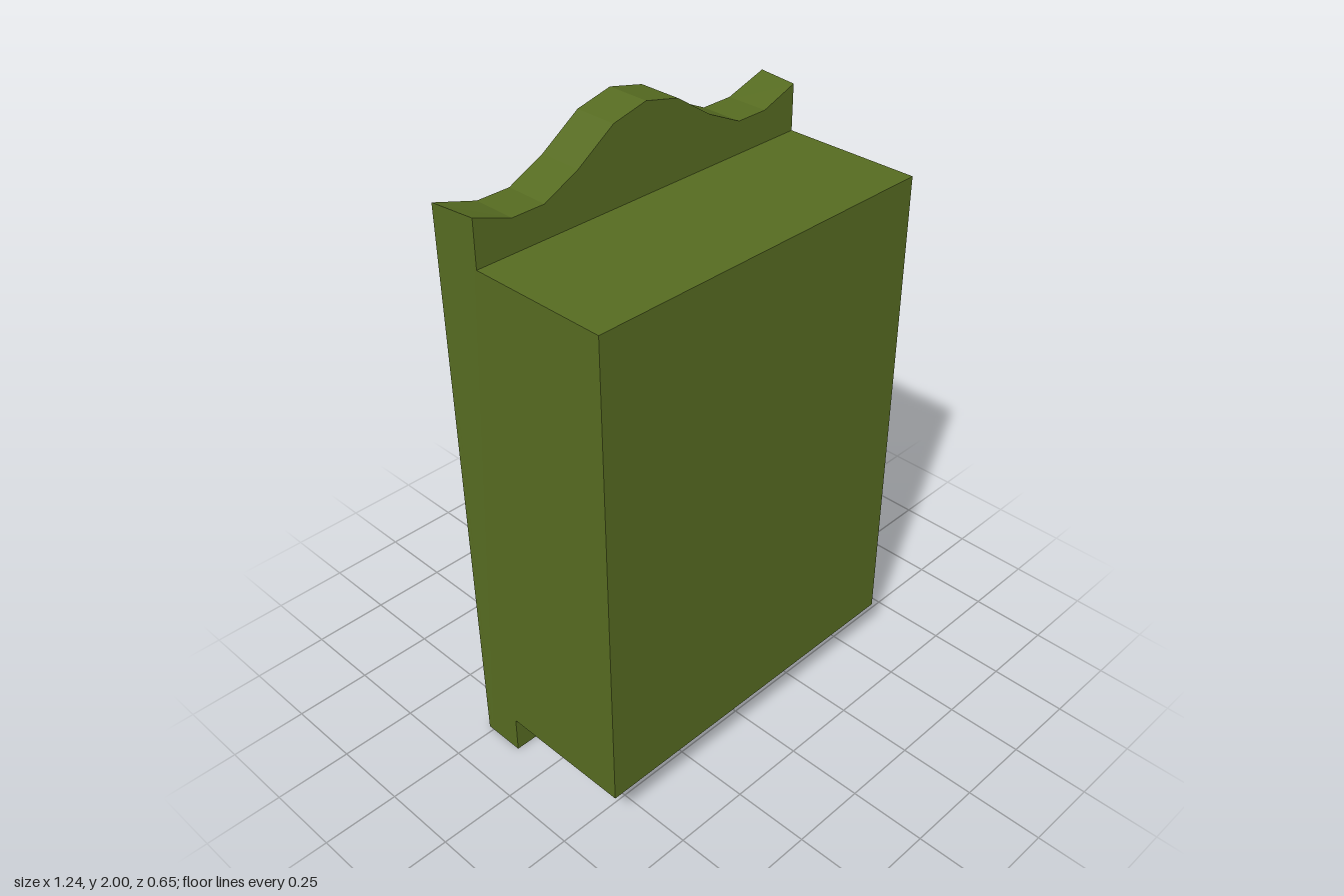
import * as THREE from 'three';

const FACE = -0.27; // plane of the door side
const BACK = -0.13; // where the facade meets the cabinet box

// Half of the crown outline, from the middle outwards
const CROWN = [[0, 2], [0.12, 1.972], [0.25, 1.885], [0.37, 1.828], [0.48, 1.828], [0.605, 1.873]];

const mirrored = (half) => [
  ...half.slice().reverse().map(([x, y]) => [-x, y]),
  ...half.filter(([x]) => x > 0),
];
const points = (list) => list.map(([x, y]) => new THREE.Vector2(x, y));

function rectPath(x0, y0, x1, y1) {
  return new THREE.Path(points([[x0, y0], [x0, y1], [x1, y1], [x1, y0]]));
}

// Whole facade: wavy crown above, cut-out between two feet below
function facadeShape() {
  const feet = [[0.605, 0], [0.49, 0], [0.365, 0.083]];
  return new THREE.Shape(points([
    ...mirrored(CROWN),
    ...feet,
    ...feet.slice().reverse().map(([x, y]) => [-x, y]),
  ]));
}

// Crown recess that follows the wavy top at a given inset
function crownHole(inset, bottom) {
  const top = CROWN.map(([x, y], i) => (i === 5 ? [x - inset * 0.6, y - inset - 0.005] : [x, y - inset]));
  const side = 0.605 - inset * 0.6;
  return new THREE.Path(points([...mirrored(top), [side, bottom], [-side, bottom]]));
}

function extrude(shape, z0, z1) {
  const g = new THREE.ExtrudeGeometry(shape, { depth: z1 - z0, bevelEnabled: false });
  return g.translate(0, 0, z0);
}

// Outer sides flare gently towards the top of the door side
function flare(g) {
  const p = g.attributes.position;
  for (let i = 0; i < p.count; i++) {
    const x = p.getX(i);
    if (Math.abs(x) > 0.603) {
      const t = (BACK - p.getZ(i)) / (BACK - FACE);
      p.setX(i, x + Math.sign(x) * 0.017 * t * p.getY(i) / 1.87);
    }
  }
  g.computeVertexNormals();
  return g;
}

export function createModel() {
  const wood = new THREE.MeshStandardMaterial({ color: 0x566b21 });
  wood.name = 'olive wood';
  const brass = new THREE.MeshStandardMaterial({ color: 0xa39a12 });
  brass.name = 'brass';

  const model = new THREE.Group();
  model.name = 'wardrobe';
  const add = (name, geometry, material, parent = model) => {
    const mesh = new THREE.Mesh(geometry, material);
    mesh.name = name;
    parent.add(mesh);
    return mesh;
  };

  // Cabinet box
  add('cabinetBody', new THREE.BoxGeometry(1.21, 1.6, 0.455).translate(0, 0.926, 0.0945), wood);

  // Facade: solid slab, then two stepped frames around crown and doors
  add('facadeSlab', flare(extrude(facadeShape(), -0.252, BACK)), wood);
  const steps = [
    ['innerFrame', -0.262, -0.252, 0.052, 1.745],
    ['outerFrame', FACE, -0.262, 0.036, 1.735],
  ];
  for (const [name, z0, z1, inset, bottom] of steps) {
    const shape = facadeShape();
    shape.holes.push(crownHole(inset, bottom), rectPath(-0.555, 0.18, 0.555, 1.665));
    add(name, flare(extrude(shape, z0, z1)), wood);
  }

  // Cornice bead under the crown
  add('cornice', new THREE.BoxGeometry(1.2, 0.022, 0.006).translate(0, 1.716, FACE + 0.001), wood);

  for (const side of [-1, 1]) {
    // Door with a narrow gap all round
    const door = new THREE.BoxGeometry(0.545, 1.473, 0.018);
    add(side > 0 ? 'leftDoor' : 'rightDoor', door.translate(side * 0.2765, 0.9225, -0.26), wood);

    // Lock plate with a keyhole, and a round knob on a stem
    const lock = new THREE.Group();
    lock.name = side > 0 ? 'leftLock' : 'rightLock';
    lock.position.set(side * 0.083, 0, 0);
    model.add(lock);

    const plate = new THREE.Shape(points([[-0.036, 0.85], [0.036, 0.85], [0.036, 1.0], [-0.036, 1.0]]));
    const keyhole = new THREE.Path();
    keyhole.absarc(0, 0.898, 0.007, -0.9, Math.PI + 0.9, false);
    keyhole.lineTo(-0.004, 0.876);
    keyhole.lineTo(0.004, 0.876);
    keyhole.closePath();
    plate.holes.push(keyhole);
    add('lockPlate', extrude(plate, -0.277, -0.269), brass, lock);

    const profile = points([
      [0.014, 0], [0.009, 0.006], [0.008, 0.026], [0.017, 0.029],
      [0.022, 0.036], [0.018, 0.044], [0.009, 0.049], [0, 0.05],
    ]);
    const knob = add('knob', new THREE.LatheGeometry(profile, 16), brass, lock);
    knob.rotation.x = -Math.PI / 2;
    knob.position.set(0, 0.96, -0.276);
  }
  return model;
}
